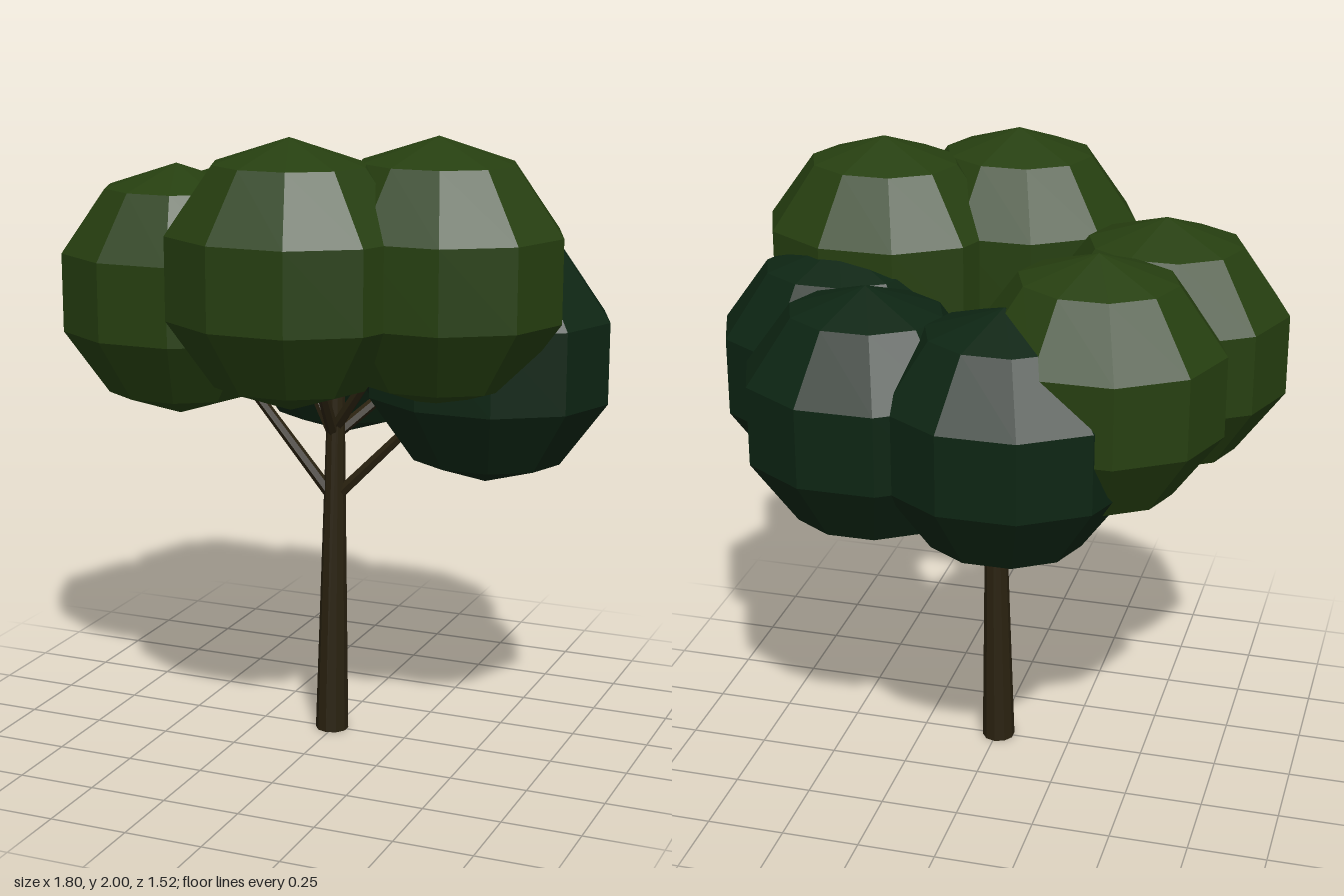
import * as THREE from 'three';

export function createModel() {
  const tree = new THREE.Group();
  tree.name = 'tree';

  const mat = (name, color) => {
    const m = new THREE.MeshStandardMaterial({ color, flatShading: true });
    m.name = name;
    return m;
  };
  const bark = mat('bark', 0x2a2210);
  const lightLeaf = mat('lightLeaf', 0x263f10);
  const darkLeaf = mat('darkLeaf', 0x0d2513);

  const add = (name, geometry, material) => {
    const mesh = new THREE.Mesh(geometry, material);
    mesh.name = name;
    tree.add(mesh);
    return mesh;
  };

  // Tapered round limb running from point a to point b
  const limb = (name, a, b, r0, r1, sides) => {
    const from = new THREE.Vector3(...a);
    const dir = new THREE.Vector3(...b).sub(from);
    const length = dir.length();
    const geometry = new THREE.CylinderGeometry(r1, r0, length, sides).translate(0, length / 2, 0);
    const mesh = add(name, geometry, bark);
    mesh.quaternion.setFromUnitVectors(new THREE.Vector3(0, 1, 0), dir.normalize());
    mesh.position.copy(from);
  };

  limb('trunk', [-0.007, 0, 0], [0.008, 1.22, 0], 0.054, 0.026, 10);

  // Leaf clumps: centre, leaf colour, height where the branch leaves the trunk
  const clumps = [
    [[0.04, 1.592, 0.433], lightLeaf, 1.0],
    [[0.43, 1.592, 0.23], lightLeaf, 1.02],
    [[-0.515, 1.452, 0.068], lightLeaf, 0.79],
    [[-0.388, 1.452, -0.312], lightLeaf, 1.0],
    [[-0.14, 1.308, -0.44], darkLeaf, 1.0],
    [[0.306, 1.308, -0.365], darkLeaf, 1.0],
    [[0.51, 1.308, -0.01], darkLeaf, 0.79],
  ];

  // Each clump is a squashed ten-sided ball held by its own branch
  const ball = new THREE.SphereGeometry(0.408, 10, 5).scale(1, 1, 0.87);
  clumps.forEach(([centre, leaf, forkY], i) => {
    add('leafClump' + (i + 1), ball, leaf).position.set(...centre);
    limb('branch' + (i + 1), [0, forkY, 0], centre, 0.02, 0.013, 6);
  });

  return tree;
}
